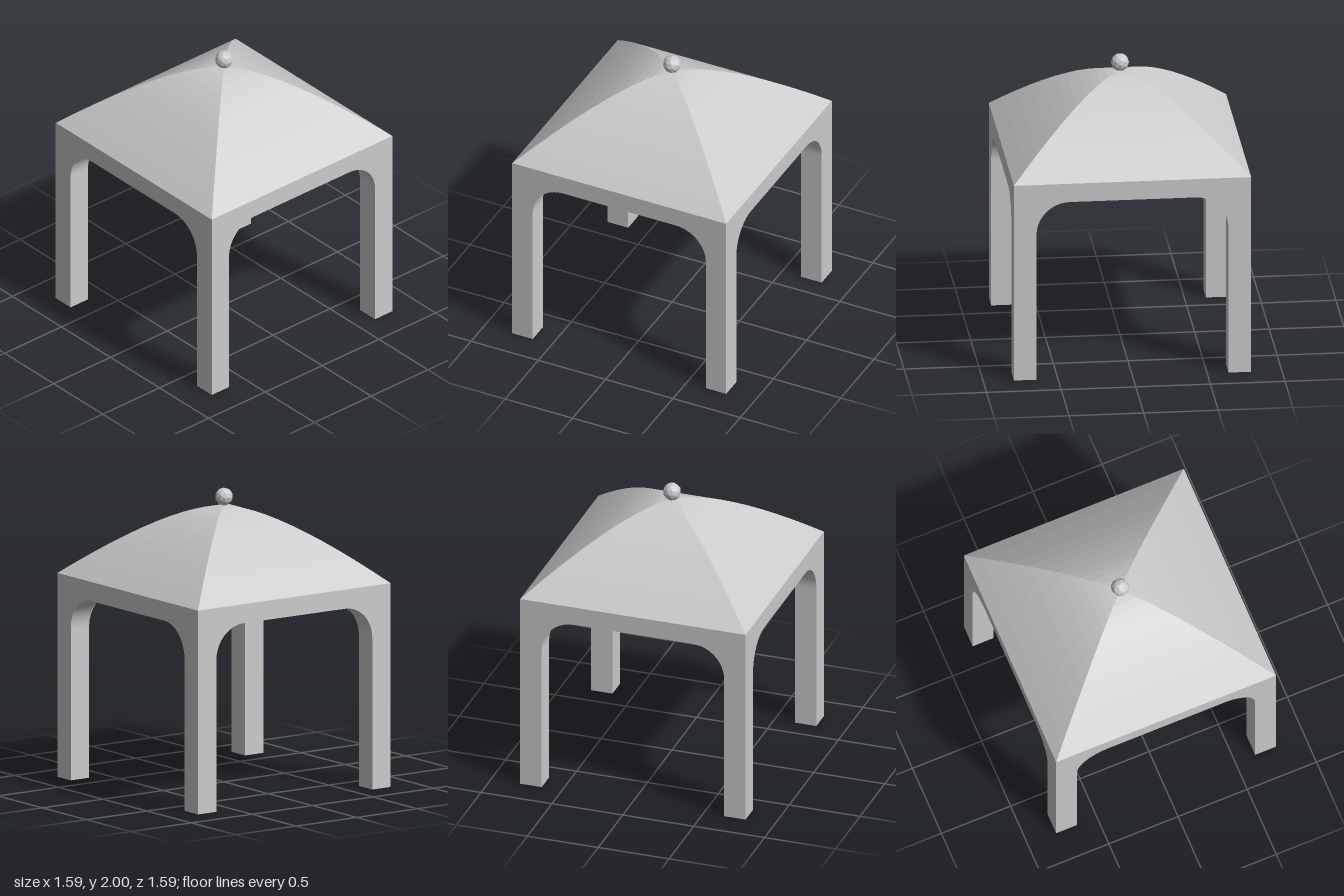
import * as THREE from 'three';

const HALF = 0.795;      // half width of the pavilion
const POST = 0.152;      // post thickness
const BEAM = 1.255;      // underside of the canopy slab
const EAVE = 1.385;      // bottom of the roof
const PEAK = 1.88;
const R = 0.225;         // arch corner radius

const material = new THREE.MeshStandardMaterial({ color: 0xcccccc, flatShading: true });

function add(parent, name, geometry, x = 0, y = 0, z = 0) {
  const mesh = new THREE.Mesh(geometry, material);
  mesh.name = name;
  mesh.position.set(x, y, z);
  parent.add(mesh);
  return mesh;
}

// Concave arch corner: fills the angle between a post and the slab, extending along +x
function bracketGeometry() {
  const shape = new THREE.Shape();
  shape.moveTo(0, 0);
  shape.lineTo(0, -R);
  shape.absarc(R, -R, R, Math.PI, Math.PI / 2, true);
  shape.lineTo(0, 0);
  return new THREE.ExtrudeGeometry(shape, { depth: POST, bevelEnabled: false, curveSegments: 8 });
}

export function createModel() {
  const model = new THREE.Group();
  model.name = 'pavilion';

  // Four corners, each a post with two arch brackets
  const postGeo = new THREE.BoxGeometry(POST, BEAM, POST);
  const bracketGeo = bracketGeometry();
  for (let i = 0; i < 4; i++) {
    const corner = new THREE.Group();
    corner.name = 'corner';
    corner.rotation.y = i * Math.PI / 2;
    const c = -HALF + POST / 2;
    add(corner, 'post', postGeo, c, BEAM / 2, c);
    add(corner, 'archBracketX', bracketGeo, -HALF + POST, BEAM, -HALF);
    const side = add(corner, 'archBracketZ', bracketGeo, -HALF + POST, BEAM, -HALF + POST);
    side.rotation.y = -Math.PI / 2;
    model.add(corner);
  }

  // Flat slab forming the beams and ceiling
  add(model, 'canopySlab', new THREE.BoxGeometry(2 * HALF, EAVE - BEAM, 2 * HALF), 0, (EAVE + BEAM) / 2, 0);

  // Four-sided roof with a curved profile
  const profile = new THREE.QuadraticBezierCurve(
    new THREE.Vector2(HALF * Math.SQRT2, EAVE),
    new THREE.Vector2(0.25 * Math.SQRT2, PEAK),
    new THREE.Vector2(0, PEAK)
  ).getPoints(12);
  add(model, 'roof', new THREE.LatheGeometry(profile, 4, Math.PI / 4));

  // Ball finial
  add(model, 'finial', new THREE.IcosahedronGeometry(0.061, 1), 0, 1.939, 0);

  return model;
}
